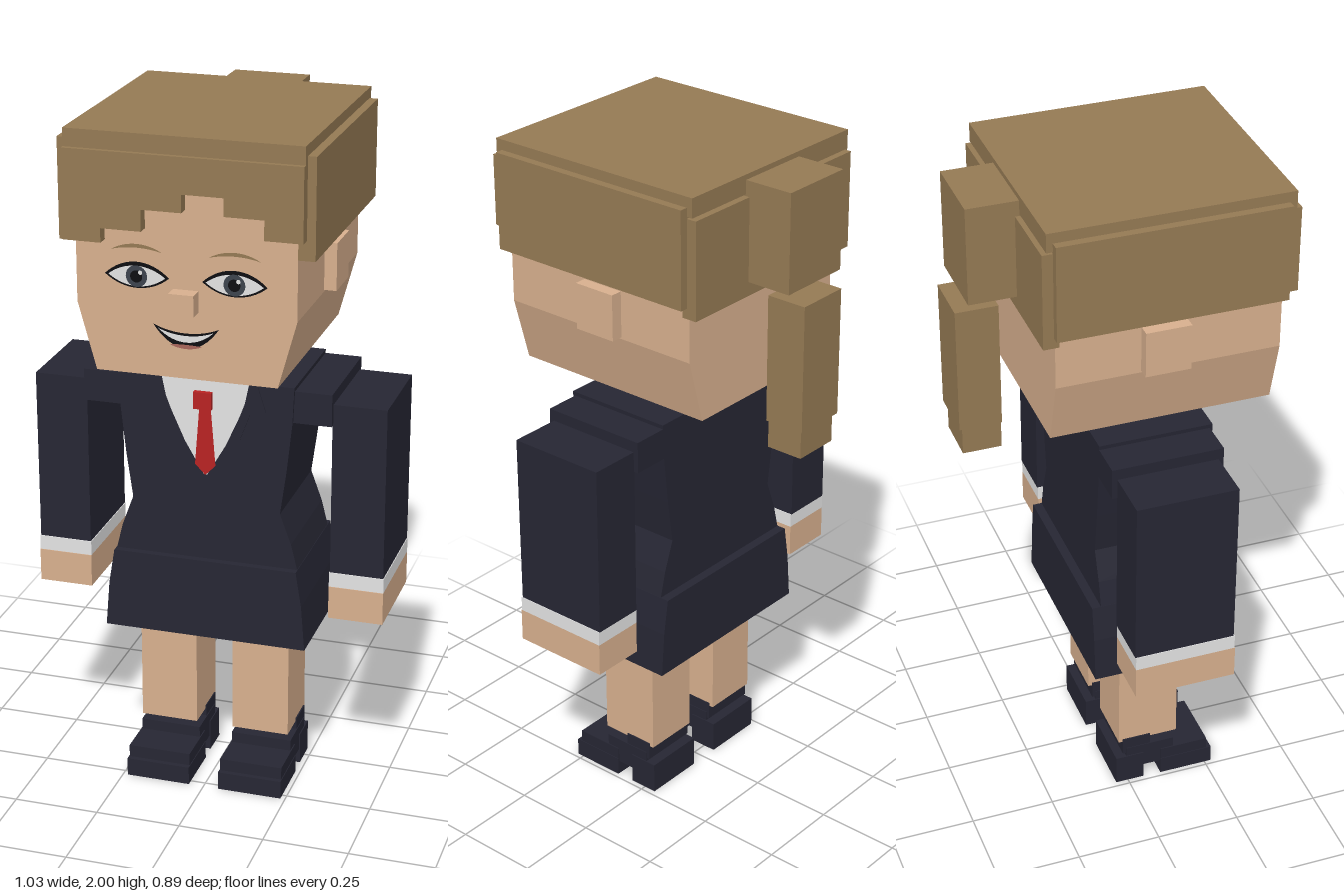
import * as THREE from 'three';

const mat = (name, color) => {
  const m = new THREE.MeshStandardMaterial({ color });
  m.name = name;
  return m;
};

export function createModel() {
  const root = new THREE.Group();
  root.name = 'businessWoman';
  const skin = mat('skin', 0xd8b08e), hair = mat('hair', 0x957a54), suit = mat('suit', 0x262633);
  const white = mat('white', 0xe4e4e4), red = mat('red', 0xb82323), black = mat('black', 0x0c0c10);
  const iris = mat('iris', 0x3c434d), lip = mat('lip', 0xa8655a);

  const add = (name, geo, material) => {
    const m = new THREE.Mesh(geo, material);
    m.name = name;
    root.add(m);
    return m;
  };
  // Box given by its limits on each axis
  const box = (name, material, x0, x1, y0, y1, z0, z1) =>
    add(name, new THREE.BoxGeometry(x1 - x0, y1 - y0, z1 - z0)
      .translate((x0 + x1) / 2, (y0 + y1) / 2, (z0 + z1) / 2), material);
  const shapeOf = (pts) => new THREE.Shape(pts.map(([x, y]) => new THREE.Vector2(x, y)));
  // Front outline pushed through from z0 to z1
  const slab = (name, material, pts, z0, z1) =>
    add(name, new THREE.ExtrudeGeometry(shapeOf(pts), { depth: z1 - z0, bevelEnabled: false })
      .translate(0, 0, z0), material);
  // Symmetric slab from its right half, listed bottom to top
  const mirrored = (half) => [...half, ...half.map(([x, y]) => [-x, y]).reverse()];
  // Flat painted shape facing the front
  const paint = (name, material, shape, z) =>
    add(name, new THREE.ShapeGeometry(shape, 16).translate(0, 0, z), material);
  const oval = (x, y, rx, ry) => {
    const s = new THREE.Shape();
    s.absellipse(x, y, rx, ry, 0, Math.PI * 2);
    return s;
  };
  // Two curves sharing the same corners
  const lens = (x0, x1, y, top, bottom) => {
    const s = new THREE.Shape(), d = (x1 - x0) * 0.3;
    s.moveTo(x0, y);
    s.bezierCurveTo(x0 + d, bottom, x1 - d, bottom, x1, y);
    s.bezierCurveTo(x1 - d, top, x0 + d, top, x0, y);
    return s;
  };

  // Head
  slab('head', skin, mirrored([[0.255, 1.33], [0.307, 1.52], [0.307, 1.96]]), -0.24, 0.40);
  box('nose', skin, -0.035, 0.035, 1.52, 1.58, 0.395, 0.444);
  box('neck', skin, -0.082, 0.082, 1.25, 1.335, -0.025, 0.155);

  // Hair: cap, stepped fringe, back, ponytail
  box('hairCap', hair, -0.33, 0.33, 1.945, 2, -0.268, 0.42);
  slab('fringe', hair, [
    [-0.33, 1.70], [-0.225, 1.70], [-0.225, 1.74], [-0.112, 1.74], [-0.112, 1.80], [0, 1.80],
    [0, 1.85], [0.115, 1.85], [0.115, 1.80], [0.225, 1.80], [0.225, 1.745], [0.33, 1.745],
    [0.33, 1.95], [-0.33, 1.95],
  ], 0.398, 0.434);
  box('backHair', hair, -0.33, 0.33, 1.66, 1.94, -0.28, -0.235);
  box('ponytailKnot', hair, -0.112, 0.112, 1.70, 1.985, -0.415, -0.26);
  box('ponytail', hair, -0.08, 0.08, 1.29, 1.663, -0.444, -0.322);
  box('ponytailTip', hair, -0.07, 0.07, 1.205, 1.29, -0.434, -0.322);

  // Mouth
  const f = 0.401;
  paint('mouth', black, lens(-0.092, 0.092, 1.478, 1.452, 1.395), f);
  paint('teeth', white, lens(-0.078, 0.078, 1.468, 1.447, 1.422), f + 0.002);
  paint('lowerLip', lip, lens(-0.045, 0.045, 1.425, 1.428, 1.412), f + 0.002);

  // Jacket, skirt, shirt front
  slab('jacket', suit, mirrored([
    [0.27, 0.72], [0.25, 0.80], [0.217, 0.89], [0.235, 1.02], [0.25, 1.16], [0.255, 1.27],
  ]), -0.10, 0.233);
  slab('skirt', suit, mirrored([[0.298, 0.485], [0.287, 0.62], [0.27, 0.725]]), -0.127, 0.254);
  paint('shirt', white, shapeOf(mirrored([
    [0.005, 0.985], [0.06, 1.08], [0.10, 1.17], [0.115, 1.21], [0.127, 1.268],
  ])), 0.235);
  paint('tie', red, shapeOf(mirrored([[0.001, 0.985], [0.03, 1.015], [0.016, 1.195]])), 0.238);
  box('tieKnot', red, -0.026, 0.026, 1.19, 1.24, 0.25, 0.265);

  for (const s of [-1, 1]) {
    const side = s > 0 ? 'left' : 'right';
    const part = (name, material, x0, x1, ...rest) =>
      box(side + name, material, Math.min(s * x0, s * x1), Math.max(s * x0, s * x1), ...rest);

    // Sides of the head
    part('Ear', skin, 0.30, 0.342, 1.525, 1.66, 0, 0.13);
    part('SideHair', hair, 0.30, 0.354, 1.69, 1.97, -0.25, 0.40);

    // Eye and brow
    const ex = s * 0.136, ey = 1.607;
    paint(side + 'EyeOutline', black, lens(ex - 0.09, ex + 0.09, ey, ey + 0.052, ey - 0.045), f);
    paint(side + 'EyeWhite', white, lens(ex - 0.08, ex + 0.08, ey, ey + 0.038, ey - 0.038), f + 0.002);
    paint(side + 'Iris', iris, oval(ex, ey, 0.03, 0.03), f + 0.004);
    paint(side + 'Pupil', black, oval(ex, ey, 0.017, 0.017), f + 0.006);
    paint(side + 'EyeGlint', white, oval(ex + 0.012, ey + 0.012, 0.006, 0.006), f + 0.008);
    paint(side + 'Brow', hair, lens(ex - 0.072, ex + 0.072, 1.675, 1.702, 1.688), f);

    // Lapel
    const lapel = [[0.005, 0.985], [0.10, 1.10], [0.13, 1.18], [0.175, 1.19], [0.15, 1.268],
      [0.127, 1.268], [0.115, 1.21], [0.10, 1.17], [0.06, 1.08]];
    slab(side + 'Lapel', suit, lapel.map(([x, y]) => [s * x, y]), 0.232, 0.237);

    // Arm
    part('Shoulder', suit, 0.23, 0.36, 1.165, 1.258, -0.10, 0.225);
    part('Sleeve', suit, 0.358, 0.512, 0.72, 1.225, -0.085, 0.21);
    part('Cuff', white, 0.356, 0.514, 0.677, 0.72, -0.083, 0.213);
    part('Hand', skin, 0.356, 0.514, 0.58, 0.677, -0.083, 0.215);

    // Leg and stepped shoe
    part('Leg', skin, 0.055, 0.225, 0.15, 0.50, -0.027, 0.157);
    part('ShoeSole', suit, 0.045, 0.236, 0, 0.055, 0.105, 0.27);
    part('ShoeToe', suit, 0.047, 0.234, 0.05, 0.092, 0.105, 0.255);
    part('ShoeInstep', suit, 0.05, 0.231, 0.045, 0.125, -0.005, 0.147);
    part('ShoeStrap', suit, 0.052, 0.229, 0.105, 0.16, -0.015, 0.072);
    part('ShoeHeel', suit, 0.047, 0.234, 0, 0.095, -0.038, 0.05);
  }
  return root;
}
